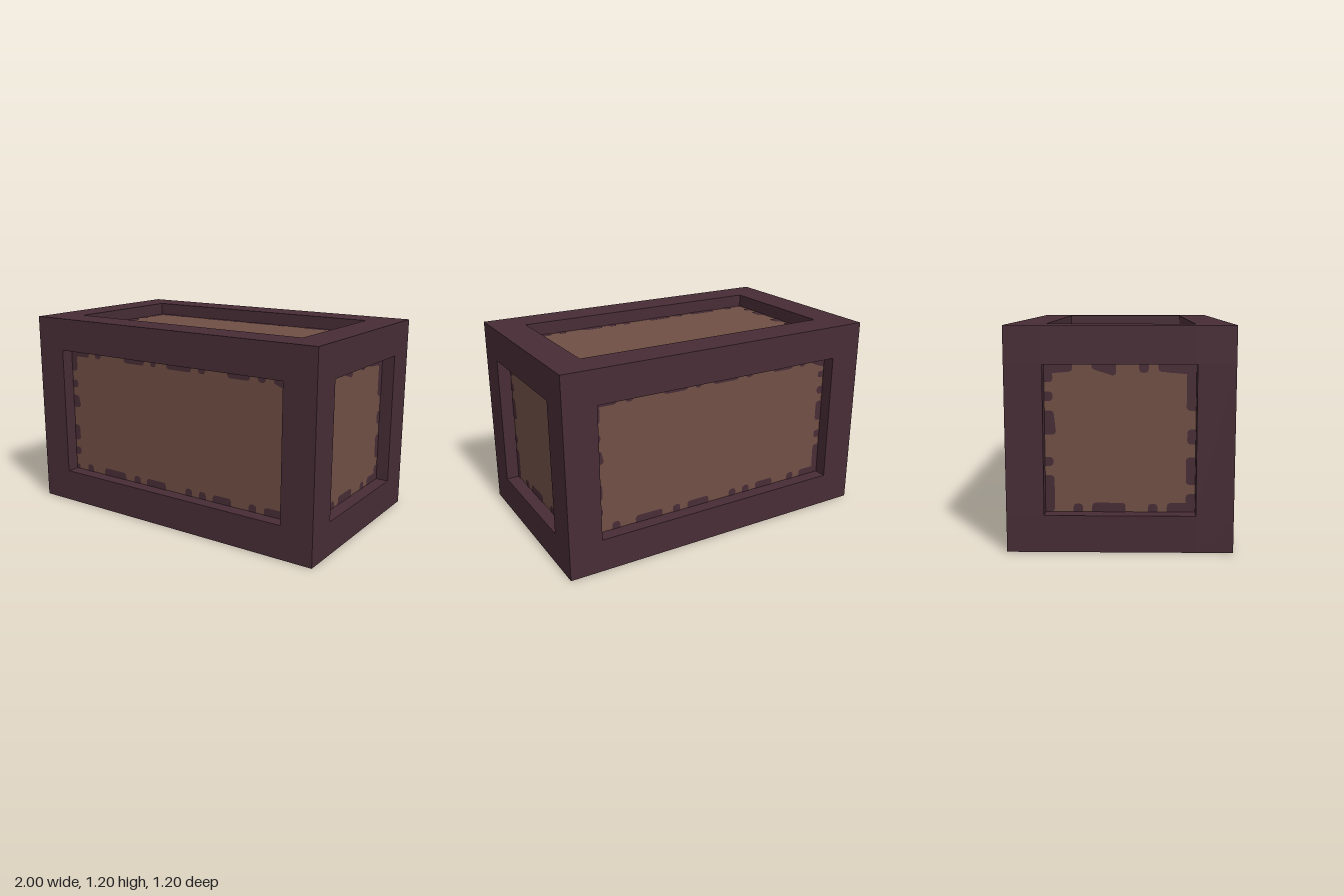
import * as THREE from 'three';

const DEPTH = 0.08; // how far the panels sit behind the frame

// Worn fringe along each edge of a panel: [from, to, depth at from, depth at to]
const longFringe = {
  top: [[-0.8, -0.65, 0.045], [-0.6, -0.55], [-0.36, -0.2], [-0.15, -0.11], [-0.03, 0.15],
    [0.2, 0.25], [0.4, 0.55], [0.6, 0.65], [0.7, 0.8, 0.045, 0.07]],
  bottom: [[-0.8, -0.77, 0.03], [-0.7, -0.65], [-0.55, -0.37], [-0.3, -0.25], [-0.2, -0.05],
    [0.1, 0.15], [0.2, 0.25], [0.3, 0.43], [0.55, 0.6], [0.65, 0.8]],
  left: [[-0.3, -0.25], [-0.2, -0.1], [0.02, 0.1, 0.06, 0.05], [0.15, 0.2], [0.26, 0.4]],
  right: [[-0.36, -0.2], [-0.15, -0.1], [-0.03, 0.1], [0.15, 0.2], [0.26, 0.3]],
};
const endFringe = {
  top: [[-0.4, -0.25, 0.055, 0.045], [-0.15, -0.02, 0.035, 0.065], [0.1, 0.15, 0.05], [0.2, 0.4, 0.045, 0.06]],
  bottom: [[-0.25, -0.2], [-0.15, 0.03, 0.05], [0.15, 0.2], [0.25, 0.4, 0.05]],
  left: [[-0.4, -0.2, 0.05, 0.05], [-0.15, -0.1], [0.02, 0.15, 0.06, 0.05], [0.2, 0.25], [0.3, 0.4, 0.045]],
  right: [[-0.4, -0.3, 0.05], [-0.25, -0.1, 0.05], [-0.03, 0.05, 0.045], [0.15, 0.37, 0.05]],
};

// One rounded tongue growing inwards from an edge; place maps (along, inward) to the panel
function tongue([a, b, da = 0.045, db = da], place) {
  const r = Math.min(0.018, (b - a) * 0.35);
  return new THREE.Shape([
    [a, 0], [b, 0], [b, db - r], [b - r * 0.3, db - r * 0.3], [b - r, db],
    [a + r, da], [a + r * 0.3, da - r * 0.3], [a, da - r],
  ].map(([t, d]) => new THREE.Vector2(...place(t, d))));
}

function fringeGeometry(fringe, halfW, halfH) {
  const edges = {
    top: (t, d) => [t, halfH - d],
    bottom: (t, d) => [t, d - halfH],
    left: (t, d) => [d - halfW, t],
    right: (t, d) => [halfW - d, t],
  };
  const shapes = Object.entries(edges).flatMap(([edge, place]) => fringe[edge].map((s) => tongue(s, place)));
  return new THREE.ShapeGeometry(shapes);
}

export function createModel() {
  const model = new THREE.Group();
  model.name = 'framedCrate';
  const darkWood = new THREE.MeshStandardMaterial({ color: 0x472c35 });
  darkWood.name = 'darkWood';
  const paleWood = new THREE.MeshStandardMaterial({ color: 0x704f45 });
  paleWood.name = 'paleWood';

  const body = new THREE.Group();
  body.name = 'body';
  body.position.y = 0.6;
  model.add(body);

  const addBox = (name, size, pos, material) => {
    const mesh = new THREE.Mesh(new THREE.BoxGeometry(...size), material);
    mesh.name = name;
    mesh.position.set(...pos);
    body.add(mesh);
  };

  // Frame bars along the twelve edges
  for (const s of [-1, 1]) {
    for (const t of [-1, 1]) {
      addBox('longBar', [2, 0.2, 0.2], [0, s * 0.5, t * 0.5], darkWood);
      addBox('cornerPost', [0.2, 0.8, 0.2], [s * 0.9, 0, t * 0.5], darkWood);
      addBox('crossBar', [0.2, 0.2, 0.8], [s * 0.9, t * 0.5, 0], darkWood);
    }
  }

  // Recessed panels as one inner box
  addBox('panels', [2 - 2 * DEPTH, 1.2 - 2 * DEPTH, 1.2 - 2 * DEPTH], [0, 0, 0], paleWood);

  // Fringe on all six panels
  const longGeo = fringeGeometry(longFringe, 0.8, 0.4);
  const endGeo = fringeGeometry(endFringe, 0.4, 0.4);
  const q = Math.PI / 2;
  const sides = [
    ['front', longGeo, 0, 0, 0.6], ['back', longGeo, 0, 2 * q, 0.6],
    ['top', longGeo, -q, 0, 0.6], ['bottom', longGeo, q, 0, 0.6],
    ['left', endGeo, 0, q, 1], ['right', endGeo, 0, -q, 1],
  ];
  for (const [name, geometry, rx, ry, distance] of sides) {
    const fringe = new THREE.Mesh(geometry, darkWood);
    fringe.name = name + 'Fringe';
    fringe.rotation.set(rx, ry, 0);
    fringe.translateZ(distance - DEPTH + 0.003);
    body.add(fringe);
  }
  return model;
}
